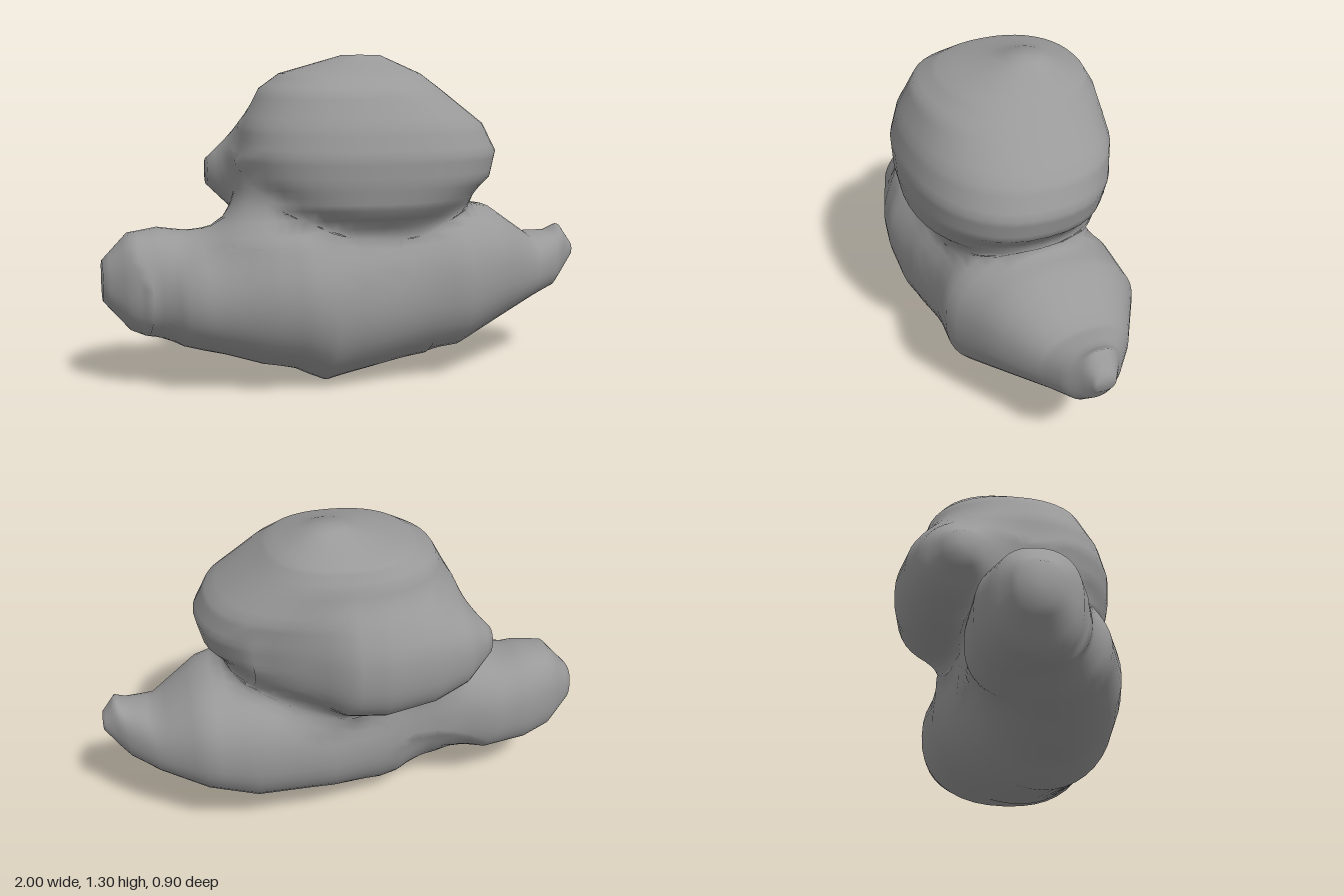
import * as THREE from 'three';

const SIDES = 40;  // points around each section
const STEPS = 4;   // sections between two listed rows
const BLEND = 0.12; // softness of the valleys between rocks

// Each rock is a lumpy loft. Rows are [t, b0, b1, c0, c1]: position along the axis,
// then the limits of a rounded section. Axis 'x' uses (b, c) = (y, z), axis 'y' uses (z, x).
const rock = (name, axis, power, ...rows) => ({ name, axis, power, rows });

const topBoulder = rock('topBoulder', 'y', 2.3,
  [0.57, -0.18, 0.28, -0.12, 0.24],
  [0.72, -0.28, 0.43, -0.38, 0.46],
  [0.82, -0.3, 0.45, -0.44, 0.57],
  [0.92, -0.32, 0.455, -0.46, 0.595],
  [1.03, -0.34, 0.425, -0.44, 0.545],
  [1.17, -0.325, 0.35, -0.36, 0.37],
  [1.23, -0.29, 0.26, -0.27, 0.3],
  [1.305, -0.12, 0.03, 0.0, 0.15]);

// Overhang at the back of the boulder
const backBulge = rock('backBulge', 'x', 2.4,
  [-0.55, 0.77, 0.88, -0.26, -0.16],
  [-0.44, 0.66, 0.98, -0.36, 0.0],
  [-0.3, 0.6, 1.05, -0.415, 0.06],
  [-0.1, 0.57, 1.09, -0.45, 0.1],
  [0.05, 0.58, 1.09, -0.435, 0.1],
  [0.35, 0.72, 0.96, -0.18, 0.05]);

// Pointed rock, running on underneath the boulder
const leftRock = rock('leftRock', 'x', 2.3,
  [-0.35, 0.2, 0.5, -0.05, 0.22],
  [-0.22, 0.11, 0.58, -0.16, 0.3],
  [0.08, 0.09, 0.65, -0.27, 0.38],
  [0.4, 0.1, 0.71, -0.3, 0.425],
  [0.6, 0.18, 0.675, -0.28, 0.33],
  [0.79, 0.26, 0.545, -0.16, 0.21],
  [0.9, 0.305, 0.55, -0.07, 0.16],
  [0.945, 0.35, 0.575, -0.03, 0.125],
  [1.0, 0.43, 0.5, 0.01, 0.09]);

// Broad rock along the front, with the lowest point
const frontRock = rock('frontRock', 'x', 2,
  [-0.8, 0.28, 0.46, 0.02, 0.18],
  [-0.7, 0.19, 0.53, -0.04, 0.31],
  [-0.4, 0.09, 0.68, -0.13, 0.41],
  [-0.27, 0.065, 0.7, -0.15, 0.435],
  [-0.15, 0.005, 0.68, -0.15, 0.43],
  [0.0, 0.04, 0.64, -0.15, 0.405],
  [0.25, 0.11, 0.53, -0.08, 0.31]);

// Slope joining the front rock to the boulder
const shoulder = rock('shoulder', 'y', 2.3,
  [0.4, -0.13, 0.28, -0.55, -0.1],
  [0.6, -0.15, 0.31, -0.56, -0.1],
  [0.84, 0.0, 0.16, -0.41, -0.2]);

const rightRock = rock('rightRock', 'x', 2.4,
  [-1.0, 0.35, 0.51, -0.06, 0.08],
  [-0.9, 0.235, 0.615, -0.135, 0.175],
  [-0.78, 0.205, 0.63, -0.185, 0.2],
  [-0.6, 0.19, 0.6, -0.2, 0.2],
  [-0.3, 0.3, 0.5, -0.08, 0.15]);

const ROCKS = [topBoulder, backBulge, leftRock, frontRock, shoulder, rightRock];

// Section of a rock at position t: centre and half size in both directions
function section(rows, t) {
  let i = 0;
  while (i < rows.length - 2 && t > rows[i + 1][0]) i++;
  const u = THREE.MathUtils.clamp((t - rows[i][0]) / (rows[i + 1][0] - rows[i][0]), 0, 1);
  const [b0, b1, c0, c1] = [1, 2, 3, 4].map((n) => THREE.MathUtils.lerp(rows[i][n], rows[i + 1][n], u));
  return { b: (b0 + b1) / 2, c: (c0 + c1) / 2, hb: (b1 - b0) / 2, hc: (c1 - c0) / 2 };
}

// Approximate distance to one rock, negative inside
function rockDistance({ axis, power, rows }, p) {
  const [t, b, c] = axis === 'x' ? [p.x, p.y, p.z] : [p.y, p.z, p.x];
  const s = section(rows, t);
  const r = Math.pow(Math.pow(Math.abs(b - s.b) / s.hb, power)
    + Math.pow(Math.abs(c - s.c) / s.hc, power), 1 / power);
  return Math.max((r - 1) * Math.min(s.hb, s.hc), rows[0][0] - t, t - rows[rows.length - 1][0]);
}

// Distance to all rocks joined with softened valleys
function pileDistance(p) {
  return ROCKS.map((r) => rockDistance(r, p)).reduce((a, b) => {
    const h = Math.max(BLEND - Math.abs(a - b), 0) / BLEND;
    return Math.min(a, b) - h * h * BLEND / 4;
  });
}

function pileGradient(p, e = 0.015) {
  const g = new THREE.Vector3();
  for (const k of ['x', 'y', 'z']) {
    const q = p.clone();
    q[k] = p[k] + e;
    const ahead = pileDistance(q);
    q[k] = p[k] - e;
    g[k] = (ahead - pileDistance(q)) / (2 * e);
  }
  return g;
}

function buildRock({ name, axis, power, rows }, material) {
  const points = [], index = [];
  const round = (v) => Math.sign(v) * Math.pow(Math.abs(v), 2 / power);
  const put = (t, b, c) => points.push(axis === 'x' ? new THREE.Vector3(t, b, c) : new THREE.Vector3(c, t, b));

  const rings = (rows.length - 1) * STEPS + 1;
  const ringT = (i) => {
    const n = Math.min(Math.floor(i / STEPS), rows.length - 2);
    return THREE.MathUtils.lerp(rows[n][0], rows[n + 1][0], i / STEPS - n);
  };
  for (let i = 0; i < rings; i++) {
    const s = section(rows, ringT(i));
    for (let j = 0; j < SIDES; j++) {
      const a = (j / SIDES) * Math.PI * 2, k = (j + 1) % SIDES;
      put(ringT(i), s.b + round(Math.cos(a)) * s.hb, s.c + round(Math.sin(a)) * s.hc);
      const p = i * SIDES, q = p + SIDES;
      if (i < rings - 1) index.push(p + j, p + k, q + k, p + j, q + k, q + j);
    }
  }
  // Close both ends with a centre point
  for (const i of [0, rings - 1]) {
    const s = section(rows, ringT(i)), centre = points.length;
    put(ringT(i), s.b, s.c);
    for (let j = 0; j < SIDES; j++) {
      const p = i * SIDES + j, q = i * SIDES + (j + 1) % SIDES;
      index.push(centre, ...(i === 0 ? [q, p] : [p, q]));
    }
  }
  // Pull points near a valley onto the softened surface; buried points stay
  const normals = points.map((p) => {
    if (pileDistance(p) > -0.07) {
      for (let n = 0; n < 3; n++) {
        const g = pileGradient(p);
        p.addScaledVector(g, -pileDistance(p) / Math.max(g.lengthSq(), 0.5));
      }
    }
    return pileGradient(p).normalize();
  });

  const geometry = new THREE.BufferGeometry().setFromPoints(points);
  geometry.setAttribute('normal', new THREE.Float32BufferAttribute(normals.flatMap((n) => n.toArray()), 3));
  geometry.setIndex(index);
  const mesh = new THREE.Mesh(geometry, material);
  mesh.name = name;
  return mesh;
}

export function createModel() {
  const group = new THREE.Group();
  group.name = 'rockPile';
  const stone = new THREE.MeshStandardMaterial({ color: 0x999999 });
  for (const r of ROCKS) group.add(buildRock(r, stone));
  return group;
}
